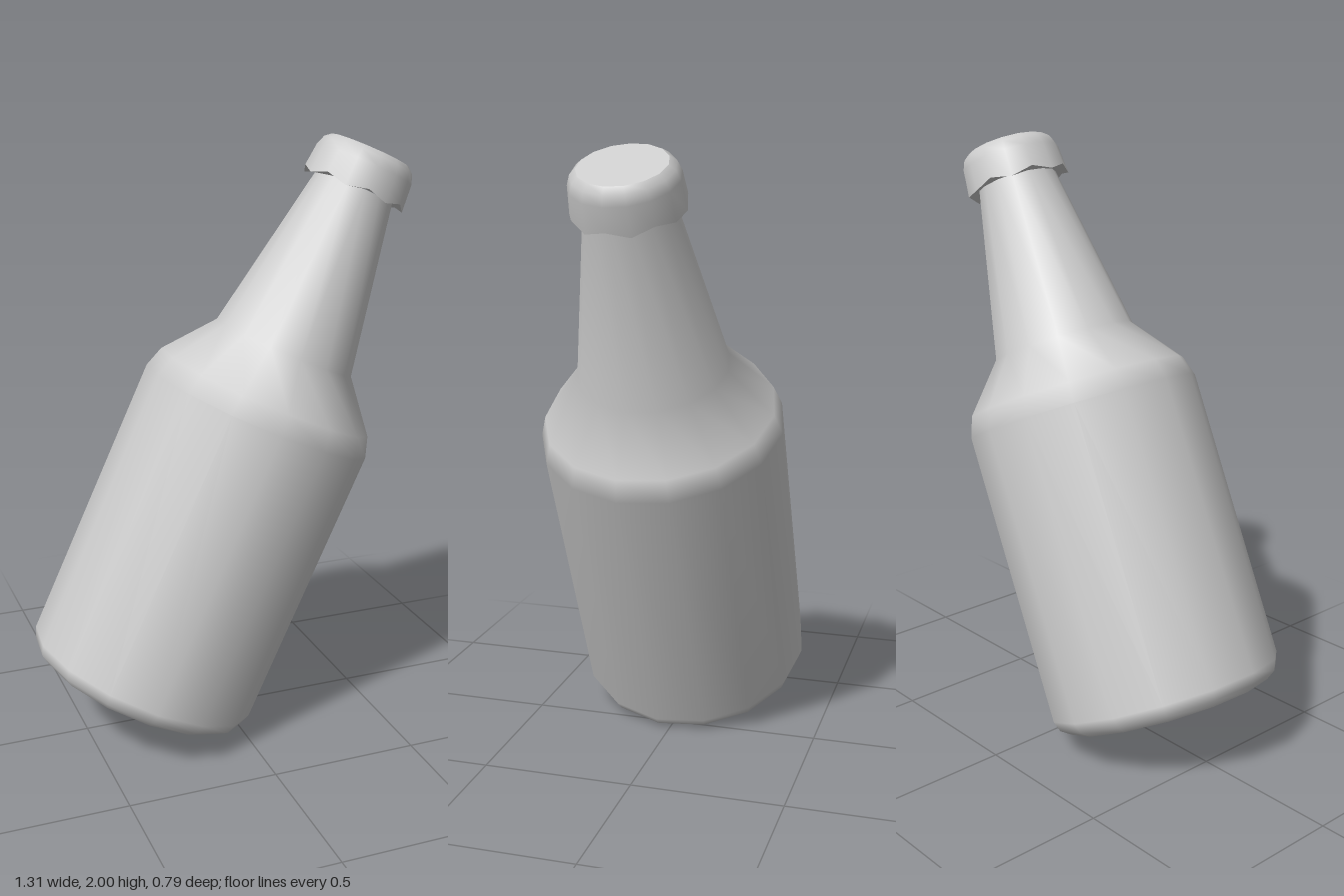
import * as THREE from 'three';

const SIDES = 15;

export function createModel() {
  const model = new THREE.Group();
  model.name = 'bottle';
  const grey = new THREE.MeshStandardMaterial({ color: 0xcccccc });
  grey.name = 'light grey';

  // turned part from [radius, height] pairs, listed upward
  const turned = (name, profile) => {
    const points = profile.map(([r, y]) => new THREE.Vector2(r, y));
    const mesh = new THREE.Mesh(new THREE.LatheGeometry(points, SIDES, Math.PI), grey);
    mesh.name = name;
    model.add(mesh);
    return mesh;
  };

  // scalloped lower edge: shift the vertices of one profile ring alternately
  const scallop = (mesh, ring, rings) => {
    const pos = mesh.geometry.attributes.position;
    for (let i = 0; i <= SIDES; i++) {
      const k = i * rings + ring;
      pos.setY(k, pos.getY(k) + ((i % SIDES) % 2 ? 0.009 : -0.009));
    }
  };

  // glass: base, body, shoulder and neck
  turned('base', [[0, 0.002], [0.355, 0.002]]);
  turned('body', [
    [0.355, 0.002], [0.388, 0.025], [0.401, 0.06], [0.401, 1.045],
    [0.378, 1.115], [0.245, 1.277], [0.137, 1.85],
  ]);

  // crown cap with a wavy rim
  scallop(turned('capUnderside', [[0.13, 1.852], [0.178, 1.845]]), 1, 2);
  scallop(turned('capSide', [
    [0.178, 1.845], [0.17, 1.93], [0.158, 1.962], [0.138, 1.979],
  ]), 0, 4);
  turned('capTop', [[0.138, 1.979], [0, 1.979]]);

  // leaning pose
  model.rotation.z = -THREE.MathUtils.degToRad(25);
  model.position.set(-0.317, 0.149, 0.003);

  const root = new THREE.Group();
  root.name = 'leaningBottle';
  root.add(model);
  return root;
}
